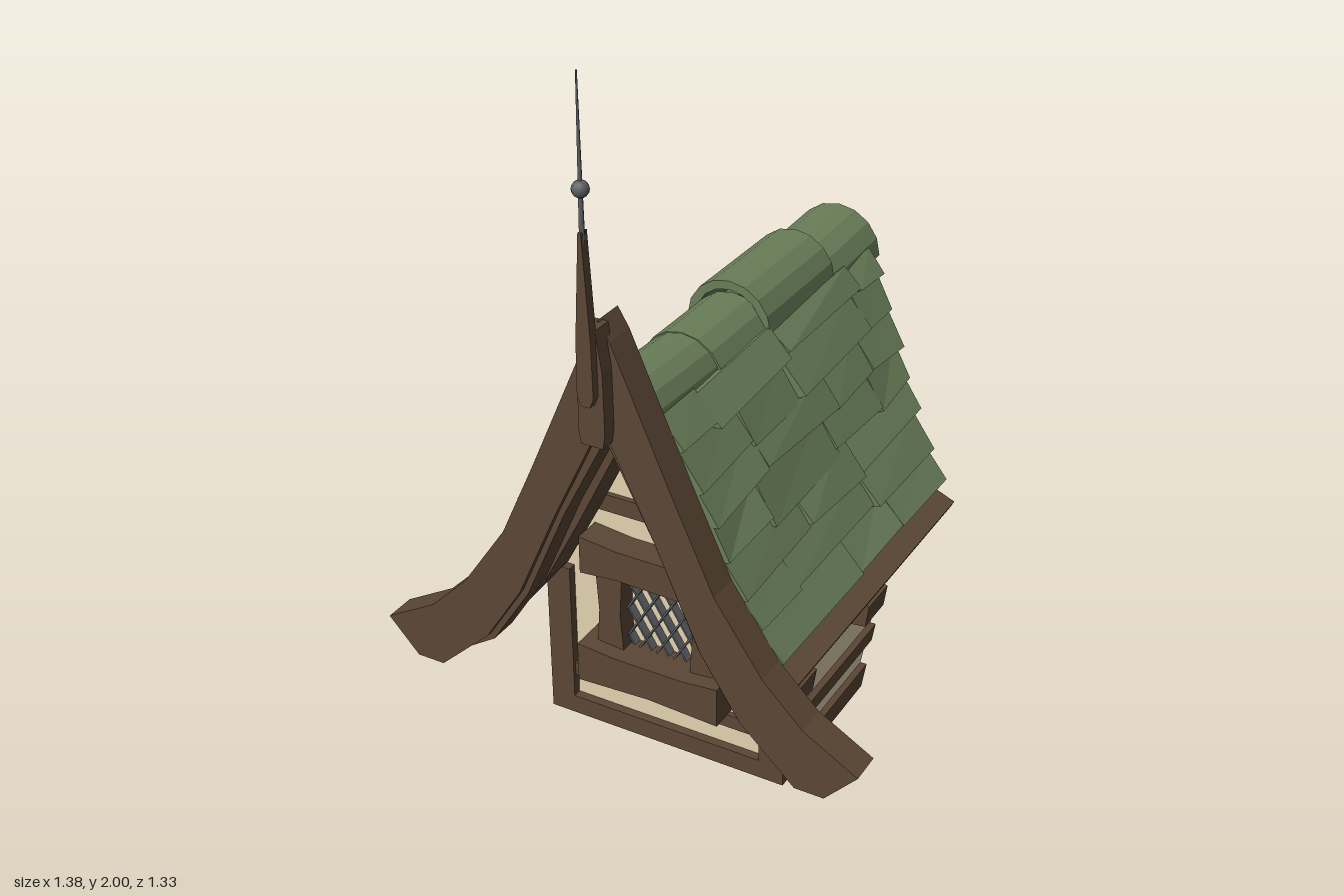
import * as THREE from 'three';

const material = (name, color) => new THREE.MeshStandardMaterial({ name, color });

export function createModel() {
  const model = new THREE.Group();
  model.name = 'dormer';
  const wood = material('brown wood', 0x5b4735);
  const plaster = material('cream plaster', 0xe3d2b0);
  const green = material('green tile', 0x697e59);
  const metal = material('dark metal', 0x5c5f64);

  let seed = 11;
  const rand = (a, b) => {
    seed = (seed * 16807) % 2147483647;
    return a + (b - a) * seed / 2147483647;
  };
  const add = (name, geometry, mat, parent = model) => {
    const mesh = new THREE.Mesh(geometry, mat);
    mesh.name = name;
    parent.add(mesh);
    return mesh;
  };
  const group = name => {
    const g = new THREE.Group();
    g.name = name;
    model.add(g);
    return g;
  };
  const box = (name, mat, x0, x1, y0, y1, z0, z1) => {
    const m = add(name, new THREE.BoxGeometry(x1 - x0, y1 - y0, z1 - z0), mat);
    m.position.set((x0 + x1) / 2, (y0 + y1) / 2, (z0 + z1) / 2);
  };
  const extrude = (pts, z0, z1) => new THREE.ExtrudeGeometry(
    new THREE.Shape(pts.map(p => new THREE.Vector2(p[0], p[1]))),
    { depth: z1 - z0, bevelEnabled: false }).translate(0, 0, z0);
  // Closed outline symmetric about x = 0, from a half outline running apex outside to apex inside
  const mirrored = half => [...half, ...half.slice(1, -1).reverse().map(([x, y]) => [-x, y])];

  // Slanted rear edges where the dormer meets the main roof
  const wallBack = y => -0.15 - 0.58 * y;
  const roofBack = y => -0.45 - 0.24 * (y - 0.5);

  // Walls and floor
  add('frontWall', extrude([[-0.34, 0], [0.34, 0], [0.34, 0.48], [0.19, 0.74], [0, 1.09],
    [-0.19, 0.74], [-0.34, 0.48]], 0.28, 0.31), plaster);
  const sideSlab = (name, mat, z0, y0, y1, xOut, depth, side, overrun = 0) => {
    const geo = extrude([[z0, y0], [z0, y1], [wallBack(y1) - overrun, y1], [wallBack(y0) - overrun, y0]], 0, depth);
    geo.rotateY(-Math.PI / 2).translate(side > 0 ? xOut : -xOut + depth, 0, 0);
    add(name, geo, mat);
  };
  for (const s of [1, -1]) {
    sideSlab('sideWall', plaster, 0.31, 0.02, 0.49, 0.335, 0.008, s);
    sideSlab('sideSill', wood, 0.33, 0, 0.055, 0.354, 0.03, s);
    sideSlab('sideRail', wood, 0.3, 0.12, 0.16, 0.354, 0.026, s, -0.01);
    const xs = [0.285 * s, 0.357 * s].sort((a, b) => a - b);
    box('cornerPost', wood, ...xs, 0, 0.47, 0.275, 0.335);
  }
  add('floor', extrude([[-0.34, -0.33], [0.34, -0.33], [0.34, 0.15], [-0.34, 0.15]], 0, 0.025)
    .rotateX(-Math.PI / 2), wood);

  // Front timbers
  box('frontSill', wood, -0.3, 0.3, 0, 0.055, 0.28, 0.335);
  box('lowerRail', wood, -0.29, 0.29, 0.12, 0.16, 0.29, 0.325);
  box('upperRail', wood, -0.2, 0.2, 0.68, 0.73, 0.29, 0.325);

  // Window with a deep diamond lattice, its frame passing through the wall
  const win = group('window');
  const beam = (name, pts, z1) => add(name, extrude(pts, 0.25, z1), wood, win);
  beam('windowLintel', [[-0.215, 0.515], [-0.1, 0.525], [0.1, 0.52], [0.205, 0.51],
    [0.205, 0.62], [0.1, 0.612], [-0.1, 0.612], [-0.215, 0.625]], 0.39);
  beam('windowSill', [[-0.215, 0.19], [0, 0.2], [0.205, 0.19], [0.205, 0.305], [0.1, 0.295],
    [-0.1, 0.295], [-0.215, 0.305]], 0.415);
  for (const s of [1, -1]) {
    const jamb = [[0.1, 0.29], [0.18, 0.29], [0.172, 0.4], [0.18, 0.525], [0.1, 0.525], [0.108, 0.4]]
      .map(([x, y]) => [x * s, y]);
    beam('windowJamb', jamb, 0.37);
  }
  const w = 0.105, y0 = 0.295, y1 = 0.525, slope = 1.65;
  for (const s of [1, -1]) for (let i = -3; i <= 3; i++) {
    // Each bar is clipped to the opening
    const c = 0.41 + i * 0.086;
    const ya = Math.max(y0, c - slope * w), yb = Math.min(y1, c + slope * w);
    const bar = add('latticeBar', new THREE.BoxGeometry(0.005, (yb - ya) * Math.hypot(1, 1 / slope), 0.025), metal, win);
    bar.position.set(s * ((ya + yb) / 2 - c) / slope, (ya + yb) / 2, 0.325 + s * 0.002);
    bar.rotation.z = -s * Math.atan(1 / slope);
  }

  // Thin roof decks, open under the ridge, with the rear ends cut on a slant
  for (const s of [1, -1]) {
    const deck = extrude([[0.025, 1.05], [0.19, 0.72], [0.285, 0.545], [0.41, 0.41], [0.475, 0.47], [0.482, 0.485],
      [0.4, 0.515], [0.305, 0.56], [0.21, 0.73], [0.045, 1.06]].map(([x, y]) => [s * x, y]), -0.5, 0.51);
    const dp = deck.attributes.position;
    for (let i = 0; i < dp.count; i++) if (dp.getZ(i) < 0) dp.setZ(i, roofBack(dp.getY(i)));
    deck.computeVertexNormals();
    add('roofDeck', deck, wood);
  }

  // Rafters under the deck, their ends showing below the eaves
  const rafter = mirrored([[0, 1.09], [0.03, 1.045], [0.19, 0.725], [0.3, 0.535], [0.43, 0.425],
    [0.455, 0.42], [0.445, 0.355], [0.4, 0.35], [0.275, 0.51], [0.165, 0.72], [0, 1.05]]);
  for (const z of [-0.07, 0.35]) add('rafter', extrude(rafter, z, z + 0.115), wood);

  // Overlapping, uneven roof shingles
  const shingles = group('shingles');
  const slopeCurve = new THREE.SplineCurve([[0.1, 1.12], [0.185, 0.96], [0.245, 0.82], [0.312, 0.68], [0.412, 0.515]]
    .map(p => new THREE.Vector2(...p)));
  const addShingle = (side, t0, t1, zf, zb, last) => {
    const geo = new THREE.BoxGeometry(1, 1, 1).toNonIndexed();
    const p = geo.attributes.position;
    const lift = rand(0.024, 0.042);
    const jitter = Array.from({ length: 8 }, () => [rand(-0.022, 0.022), rand(-0.008, 0.008)]);
    for (let i = 0; i < p.count; i++) {
      const out = p.getX(i) * side > 0, up = p.getY(i) > 0, front = p.getZ(i) > 0;
      const j = jitter[(out ? 1 : 0) + (up ? 2 : 0) + (front ? 4 : 0)];
      const t = Math.min(1, Math.max(0, (up ? t0 : t1) + j[0]));
      const c = slopeCurve.getPointAt(t), d = slopeCurve.getTangentAt(t);
      const off = out ? (up ? 0.012 : lift) + j[1] : -0.034;
      const x = c.x - d.y * off, y = c.y + d.x * off;
      p.setXYZ(i, side * x, y, front ? zf : last ? roofBack(y) - 0.012 + j[1] : zb + j[1]);
    }
    geo.computeVertexNormals();
    add('shingle', geo, green, shingles);
  };
  const courses = 7;
  for (const side of [1, -1]) for (let r = 0; r < courses; r++) {
    const t0 = Math.max(0, r / courses - 0.035), t1 = (r + 1) / courses;
    const end = roofBack(slopeCurve.getPointAt(t1).y);
    let z = 0.51, last = false;
    while (!last) {
      let next = z - rand(0.16, 0.46);
      last = next < end + 0.1;
      if (last) next = end;
      addShingle(side, t0, t1 + rand(-0.012, 0.025), z, next, last);
      z = next;
    }
  }

  // Faceted half-round ridge tiles: radius, centre height, rear z, front z, rear rise
  const ridge = group('ridgeTiles');
  for (const [r, cy, zb, zf, rise] of [[0.108, 1.092, 0.2, 0.51, -0.012], [0.118, 1.073, -0.04, 0.22, 0],
    [0.121, 1.11, -0.39, -0.02, 0], [0.13, 1.062, -0.66, -0.37, 0.012]]) {
    const arc = new THREE.Shape();
    arc.absarc(0, 0, r, 0, Math.PI, false);
    arc.absarc(0, 0, r - 0.024, Math.PI, 0, true);
    const geo = new THREE.ExtrudeGeometry(arc, { depth: zf - zb, bevelEnabled: false, curveSegments: 4 });
    const p = geo.attributes.position;
    for (let i = 0; i < p.count; i++) if (p.getZ(i) < 0.01) p.setY(i, p.getY(i) + rise);
    geo.computeVertexNormals();
    add('ridgeTile', geo, green, ridge).position.set(0, cy, zb);
  }

  // Sweeping bargeboards with a slim trim strip behind
  add('bargeboards', extrude(mirrored([[0, 1.39], [0.03, 1.34], [0.2, 0.95], [0.3, 0.73], [0.43, 0.54],
    [0.54, 0.43], [0.688, 0.345], [0.6, 0.25], [0.52, 0.25], [0.37, 0.39], [0.26, 0.56], [0.14, 0.83], [0, 1.12]]),
  0.51, 0.597), wood);
  add('bargeboardTrim', extrude(mirrored([[0, 1.16], [0.15, 0.85], [0.27, 0.58], [0.38, 0.41], [0.48, 0.32],
    [0.46, 0.31], [0.36, 0.375], [0.247, 0.55], [0.128, 0.82], [0, 1.07]]), 0.5, 0.58), wood);

  // Finial: post, tapering blade, needle and ball
  const finial = group('finial');
  add('finialPost', extrude([[-0.03, 1.08], [0.03, 1.08], [0.036, 1.12], [0.034, 1.28], [0.018, 1.385],
    [-0.018, 1.385], [-0.034, 1.28], [-0.036, 1.12]], 0.58, 0.638), wood, finial);
  add('finialBlade', extrude([[-0.012, 1.195], [0.012, 1.195], [0.022, 1.22], [0.02, 1.36], [0.004, 1.63],
    [-0.004, 1.63], [-0.02, 1.36], [-0.022, 1.22]], 0.634, 0.66), wood, finial);
  add('finialNeedle', new THREE.CylinderGeometry(0.002, 0.007, 0.4, 8), metal, finial).position.set(0, 1.8, 0.648);
  add('finialBall', new THREE.SphereGeometry(0.021, 12, 8), metal, finial).position.set(0, 1.73, 0.648);
  return model;
}
